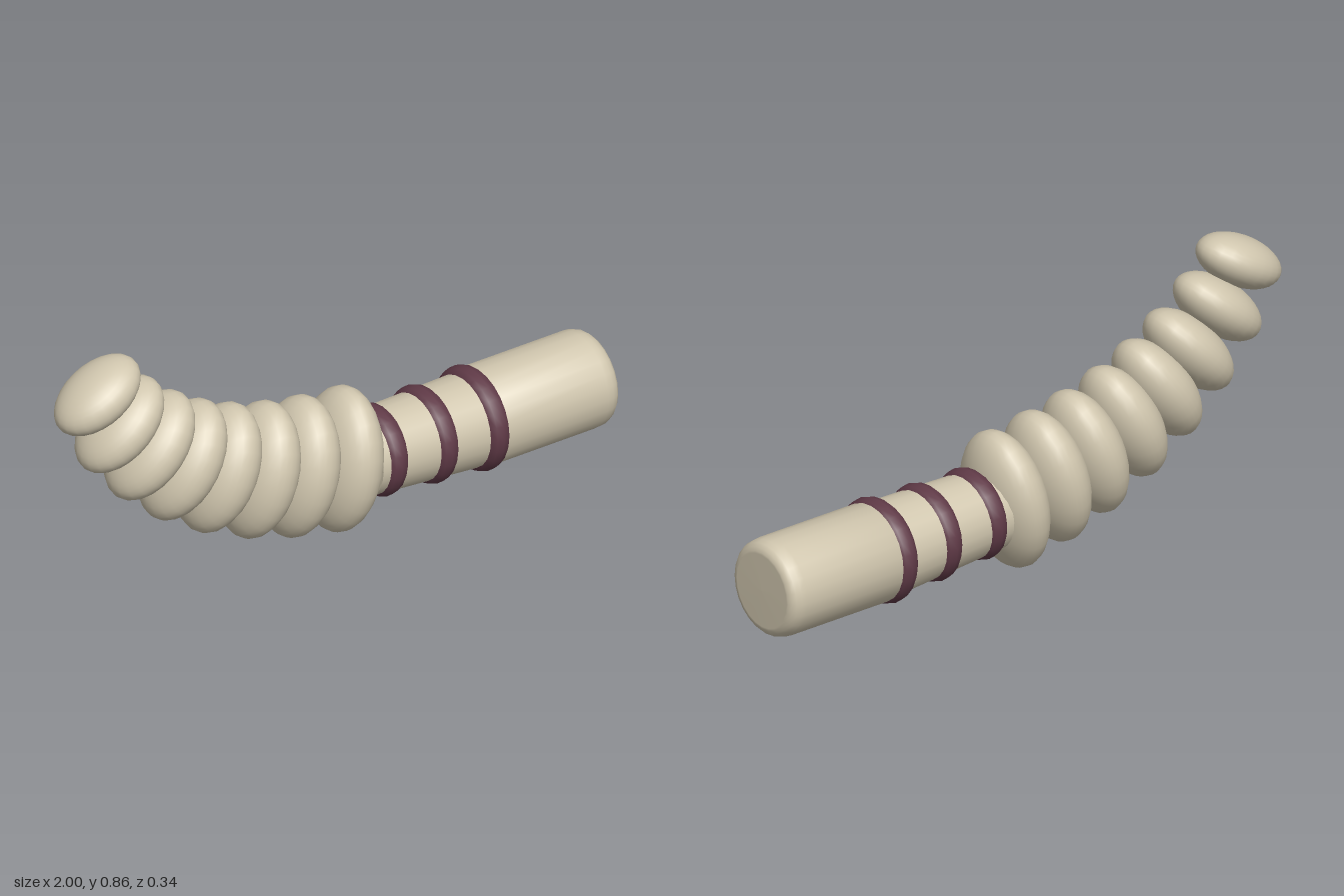
import * as THREE from 'three';

export function createModel() {
  const model = new THREE.Group();
  const bone = new THREE.MeshStandardMaterial({ color: 0xd0c6ae });
  bone.name = 'bone';
  const maroon = new THREE.MeshStandardMaterial({ color: 0x603a47 });
  maroon.name = 'maroon';

  const add = (name, geometry, material, x, y, tilt) => {
    const mesh = new THREE.Mesh(geometry, material);
    mesh.name = name;
    mesh.position.set(x, y, 0);
    mesh.rotation.z = tilt;
    model.add(mesh);
    return mesh;
  };

  // Curved chain of flattened beads: x, y, half length, half thickness, half depth, tilt in degrees
  const beads = [
    [0.05, 0.237, 0.236, 0.104, 0.172, 80],
    [-0.112, 0.265, 0.229, 0.106, 0.166, 77],
    [-0.26, 0.303, 0.221, 0.104, 0.159, 73],
    [-0.408, 0.36, 0.21, 0.103, 0.151, 66],
    [-0.541, 0.433, 0.199, 0.099, 0.143, 57.5],
    [-0.663, 0.524, 0.187, 0.092, 0.135, 48.5],
    [-0.776, 0.635, 0.173, 0.085, 0.126, 41],
    [-0.859, 0.764, 0.157, 0.079, 0.113, 30],
  ];
  const sphere = new THREE.SphereGeometry(1, 24, 18);
  beads.forEach(([x, y, length, thickness, depth, tilt], i) => {
    add('bead' + (i + 1), sphere, bone, x, y, THREE.MathUtils.degToRad(tilt))
      .scale.set(length, thickness, depth);
  });

  // Straight handle with a rounded end
  const profile = [
    [0, 0], [0.157, 0], [0.157, 0.405], [0.155, 0.425], [0.149, 0.442],
    [0.139, 0.453], [0.127, 0.458], [0.12, 0.459], [0, 0.46],
  ].map(([r, h]) => new THREE.Vector2(r, h));
  add('handle', new THREE.LatheGeometry(profile, 24), bone, 0.54, 0.213, -Math.PI / 2);

  // Tapered neck between handle and beads
  const start = new THREE.Vector2(0.12, 0.225);
  const end = new THREE.Vector2(0.56, 0.212);
  const axis = end.clone().sub(start);
  add('neck', new THREE.CylinderGeometry(0.151, 0.131, axis.length(), 24), bone,
    (start.x + end.x) / 2, (start.y + end.y) / 2, axis.angle() - Math.PI / 2);

  // Rings round the neck: x, y, outer radius, tilt
  const rings = [
    [0.18, 0.225, 0.148, -0.06],
    [0.362, 0.218, 0.157, -0.02],
    [0.545, 0.213, 0.169, 0],
  ];
  rings.forEach(([x, y, radius, tilt], i) => {
    const tube = 0.042;
    const ring = new THREE.TorusGeometry(radius - tube, tube, 12, 24).rotateY(Math.PI / 2);
    add('ring' + (i + 1), ring, maroon, x, y, tilt);
  });

  return model;
}
